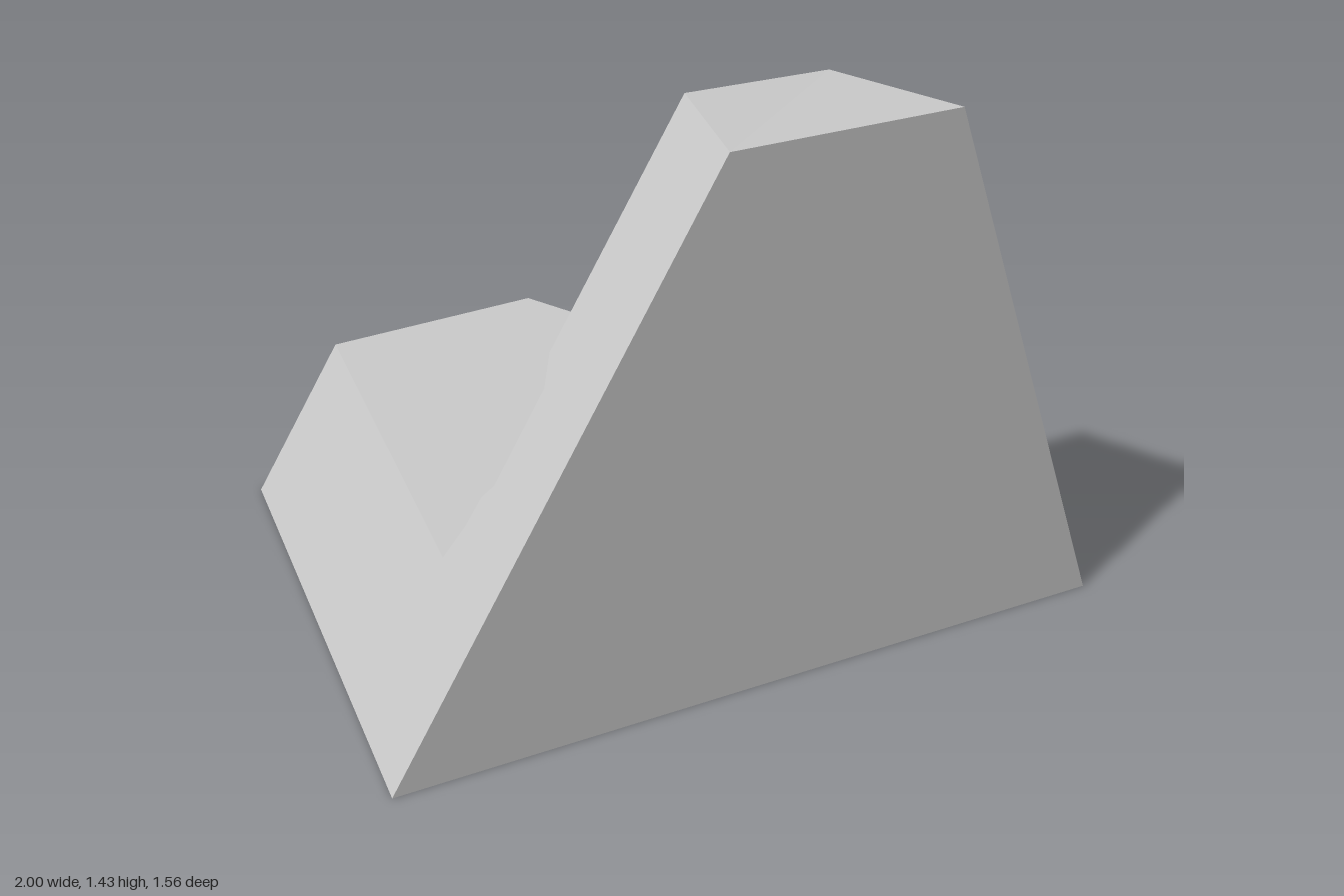
import * as THREE from 'three';

// Side profile as [z, y]: low slab, undercut notch, upright wall
const PROFILE = [
  [0.78, 0], [0.78, 1.424], [0.425, 1.43],
  [0.425, 0.845], [0.49, 0.79], [0.505, 0.57], [0.46, 0.53], [0.455, 0.46],
  [0.425, 0.375], [-0.78, 0.375], [-0.78, 0],
];

// Sloping flank planes: x for a given height and depth
const leftFlank = (y, z) => 1 - 0.317 * y + 0.4 * (z - 0.78);
const rightFlank = (y, z) => -1 + 0.632 * y - 0.272 * (z - 0.78);

export function createModel() {
  const group = new THREE.Group();
  group.name = 'cutBlock';

  const shape = new THREE.Shape(PROFILE.map(([z, y]) => new THREE.Vector2(z, y)));
  const geometry = new THREE.ExtrudeGeometry(shape, { depth: 1, bevelEnabled: false });

  // Turn the extrusion across x and pull each end onto its flank plane
  const pos = geometry.attributes.position;
  for (let i = 0; i < pos.count; i++) {
    let z = pos.getX(i);
    let y = pos.getY(i);
    const onLeft = pos.getZ(i) < 0.5;
    if (onLeft && y > 1.3) y -= 0.02; // top face tilts down to the left
    if (!onLeft && z > 0.5 && y > 0.5 && y < 0.6) z -= 0.012; // notch narrows to the right
    pos.setXYZ(i, onLeft ? leftFlank(y, z) : rightFlank(y, z), y, z);
  }
  geometry.computeVertexNormals();

  const block = new THREE.Mesh(
    geometry,
    new THREE.MeshStandardMaterial({ color: 0xcccccc, flatShading: true }),
  );
  block.name = 'slabAndUprightWall';
  group.add(block);
  return group;
}
